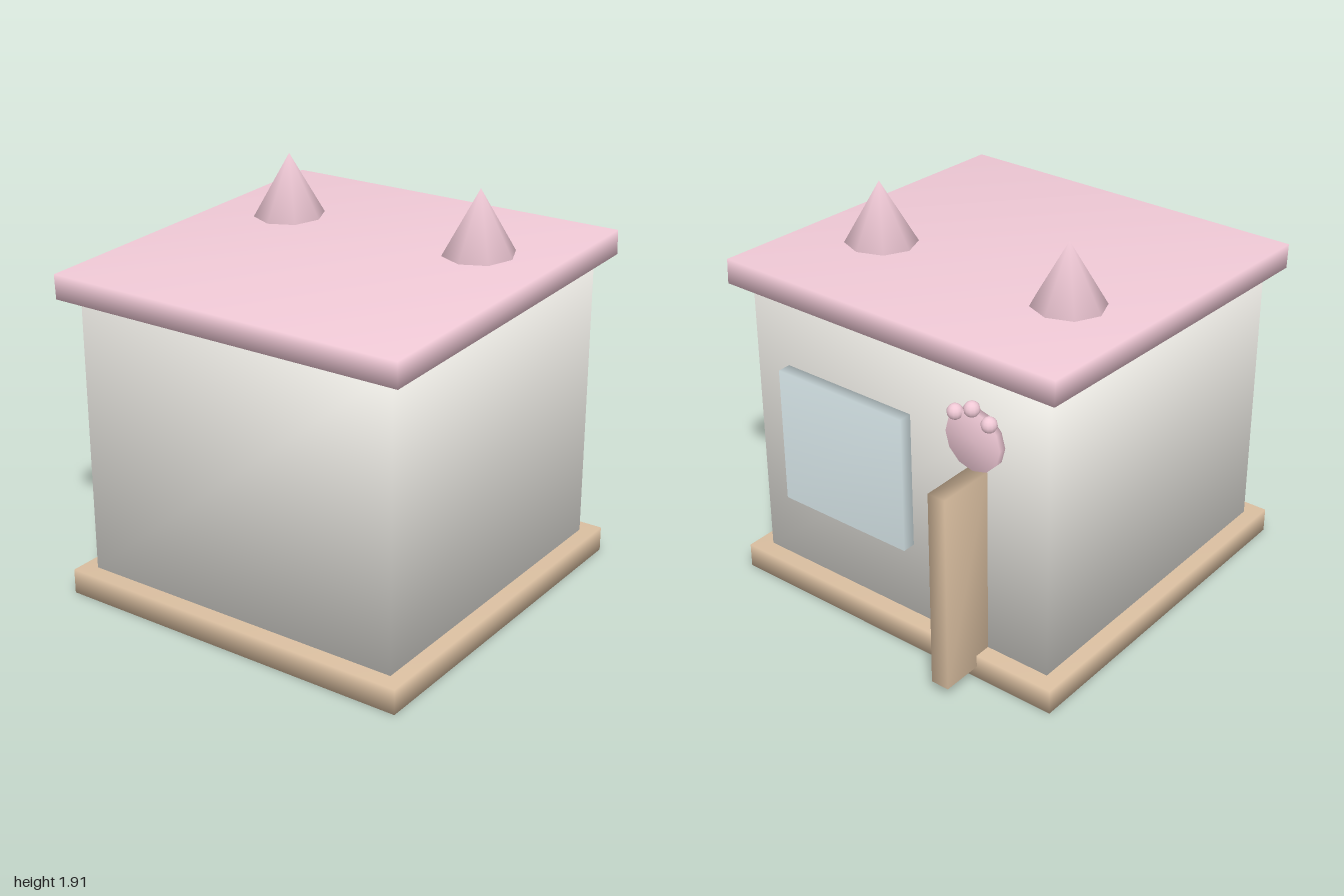
import * as THREE from 'three';
import { mergeVertices } from 'three/addons/utils/BufferGeometryUtils.js';

const material = (color) => new THREE.MeshStandardMaterial({ color });
const pink = material(0xf0c9d6);
const cream = material(0xf0eee8);
const tan = material(0xd8bd9f);
const glass = material(0xdcebee);

// Weld shared corners so the shading rolls softly over every edge
function soften(geometry) {
  geometry.deleteAttribute('normal');
  geometry.deleteAttribute('uv');
  const welded = mergeVertices(geometry, 1e-4);
  welded.computeVertexNormals();
  return welded;
}

function part(name, geometry, mat, x, y, z) {
  const mesh = new THREE.Mesh(soften(geometry), mat);
  mesh.name = name;
  mesh.position.set(x, y, z);
  return mesh;
}

// Box given by its lower and upper limits on each axis
function box(name, mat, [x0, x1], [y0, y1], [z0, z1]) {
  return part(name, new THREE.BoxGeometry(x1 - x0, y1 - y0, z1 - z0), mat,
    (x0 + x1) / 2, (y0 + y1) / 2, (z0 + z1) / 2);
}

export function createModel() {
  const house = new THREE.Group();
  house.name = 'petHouse';

  // Floor slab and house body
  house.add(box('base', tan, [-0.9, 0.9], [0, 0.12], [-0.8, 1]));
  house.add(box('walls', cream, [-0.825, 0.825], [0.12, 1.485], [-0.72, 0.92]));

  // Lean-to roof, sloping down toward the front
  const roof = part('roof', new THREE.BoxGeometry(1.8, 0.117, 1.8), pink, 0, 1.544, 0.1);
  roof.rotation.x = 0.038;
  house.add(roof);

  // Pair of pointed ears
  for (const side of [-1, 1]) {
    house.add(part(side > 0 ? 'leftEar' : 'rightEar',
      new THREE.ConeGeometry(0.175, 0.305, 8), pink, side * 0.525, 1.757, -0.2));
  }

  // Window and open door on the back wall
  house.add(box('window', glass, [-0.08, 0.635], [0.49, 1.16], [-0.785, -0.72]));
  house.add(box('door', tan, [-0.5, -0.41], [0.06, 1.03], [-1, -0.72]));

  // Paw sign above the door: round pad and three toes
  const paw = new THREE.Group();
  paw.name = 'pawSign';
  const pad = new THREE.CylinderGeometry(0.145, 0.145, 0.04, 12).rotateX(Math.PI / 2);
  paw.add(part('pad', pad, pink, -0.45, 1.18, -0.735));
  for (const i of [-1, 0, 1]) {
    paw.add(part('toe', new THREE.SphereGeometry(0.036, 12, 8), pink,
      -0.45 + i * 0.09, i === 0 ? 1.335 : 1.292, -0.757));
  }
  house.add(paw);

  return house;
}
